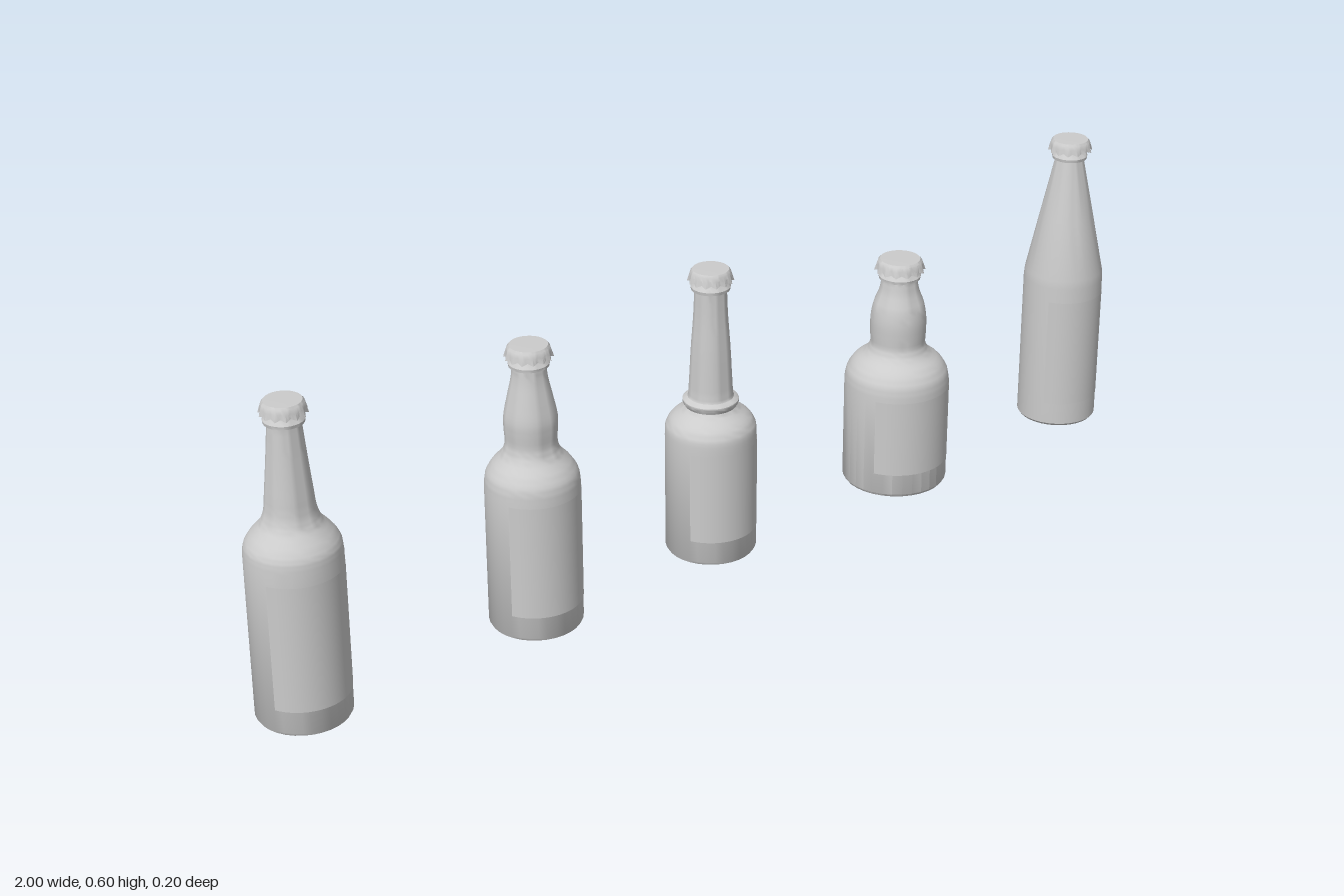
import * as THREE from 'three';
import { toCreasedNormals } from 'three/addons/utils/BufferGeometryUtils.js';

const material = new THREE.MeshStandardMaterial({ color: 0xcccccc });
const thin = new THREE.MeshStandardMaterial({ color: 0xcccccc, side: THREE.DoubleSide });
const V = (x, y) => new THREE.Vector2(x, y);

// smooth curve through [radius, height] pairs
function smooth(pairs, n) {
  const curve = new THREE.CatmullRomCurve3(pairs.map(([r, y]) => new THREE.Vector3(r, y, 0)));
  return curve.getPoints(n).map(p => V(p.x, p.y));
}

// crimped crown cap: the lower rim waves in and out, up and down
function makeCap(height, radius) {
  const teeth = 14, h = 0.022;
  const rows = [[0.55, 0.004], [0.96, 0], [1, 0], [0.95, 0.45], [0.9, 0.8], [0.82, 0.97], [0, 1]];
  const geo = new THREE.LatheGeometry(rows.map(([r, t]) => V(r * radius, height - h + t * h)), teeth * 4);
  const p = geo.attributes.position;
  for (let i = 0; i < p.count; i++) {
    const row = i % rows.length;
    const amount = [0, 1, 1, 0.5, 0.1, 0, 0][row];
    const wave = Math.cos(Math.floor(i / rows.length) / 4 * Math.PI * 2) * amount;
    const s = 1 + 0.055 * wave;
    p.setXYZ(i, p.getX(i) * s, p.getY(i) - 0.002 * wave, p.getZ(i) * s);
  }
  const cap = new THREE.Mesh(toCreasedNormals(geo, 0.6), material);
  cap.name = 'cap';
  return cap;
}

// label wrapped around the front of the straight wall
function makeLabel(radius, y0, y1) {
  const span = 2.3;
  const geo = new THREE.CylinderGeometry(radius + 0.0006, radius + 0.0006, y1 - y0, 20, 1, true, -span / 2, span);
  const label = new THREE.Mesh(geo, thin);
  label.position.y = (y0 + y1) / 2;
  label.name = 'label';
  return label;
}

function makeBottle({ name, x, z, r, height, capR, upper, straight, label }) {
  // base, then the shoulder and neck
  const base = straight
    ? [V(0, 0), V(r - 0.004, 0), V(r, 0.005)]
    : [V(0, 0.008), V(r * 0.5, 0.006), V(r * 0.8, 0.001), V(r * 0.88, 0), V(r * 0.96, 0.002), V(r, 0.008)];
  const side = straight ? upper.map(([a, b]) => V(a, b)) : smooth(upper, 30);
  // lip ring below the cap
  const n = upper[upper.length - 1][0];
  const lip = [[n + 0.006, -0.04], [n + 0.007, -0.034], [n + 0.002, -0.027], [n, -0.024], [n, -0.01], [0, -0.01]]
    .map(([a, b]) => V(a, height + b));
  const glass = new THREE.Mesh(
    toCreasedNormals(new THREE.LatheGeometry([...base, ...side, ...lip], 32), 0.6), material);
  glass.name = 'glass';
  const bottle = new THREE.Group();
  bottle.name = name;
  bottle.add(glass, makeCap(height, capR), makeLabel(r, ...label));
  bottle.position.set(x, 0, z);
  return bottle;
}

const bottles = [
  { name: 'longNeckBottle', x: -0.915, z: -0.002, r: 0.085, height: 0.598, capR: 0.04, label: [0.05, 0.29],
    upper: [[0.085, 0.315], [0.082, 0.335], [0.071, 0.353], [0.053, 0.374], [0.045, 0.395], [0.041, 0.43], [0.034, 0.5], [0.029, 0.557]] },
  { name: 'bulgedNeckBottle', x: -0.42, z: 0, r: 0.086, height: 0.55, capR: 0.042, label: [0.05, 0.27],
    upper: [[0.086, 0.28], [0.083, 0.302], [0.071, 0.322], [0.054, 0.341], [0.047, 0.36], [0.048, 0.39], [0.048, 0.412], [0.041, 0.448], [0.033, 0.485], [0.03, 0.509]] },
  { name: 'collaredBottle', x: 0, z: -0.011, r: 0.086, height: 0.572, capR: 0.041, label: [0.05, 0.23],
    upper: [[0.086, 0.24], [0.084, 0.26], [0.074, 0.276], [0.057, 0.289], [0.048, 0.298], [0.052, 0.305], [0.052, 0.312], [0.043, 0.317], [0.041, 0.335], [0.037, 0.41], [0.032, 0.48], [0.03, 0.531]] },
  { name: 'stubbyBottle', x: 0.463, z: 0, r: 0.102, height: 0.468, capR: 0.047, label: [0.05, 0.205],
    upper: [[0.102, 0.215], [0.098, 0.236], [0.085, 0.256], [0.063, 0.274], [0.054, 0.29], [0.054, 0.315], [0.054, 0.345], [0.049, 0.375], [0.039, 0.402], [0.034, 0.427]] },
  { name: 'taperedBottle', x: 0.92, z: 0, r: 0.079, height: 0.6, capR: 0.042, label: [0.05, 0.275], straight: true,
    upper: [[0.079, 0.305], [0.0775, 0.322], [0.053, 0.44], [0.028, 0.559]] },
];

export function createModel() {
  const group = new THREE.Group();
  group.name = 'bottles';
  bottles.forEach(b => group.add(makeBottle(b)));
  return group;
}
